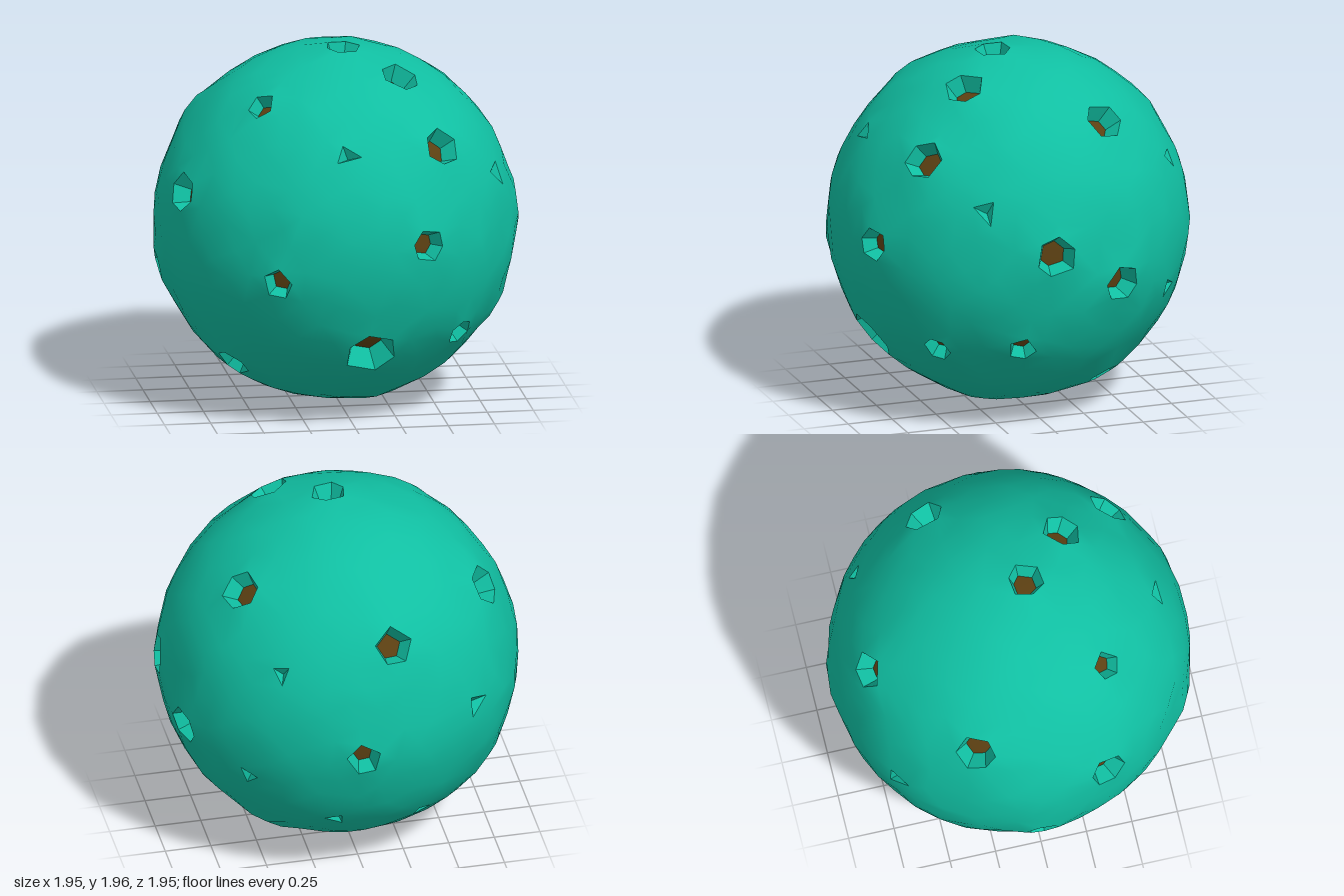
import * as THREE from 'three';
import { ConvexGeometry } from 'three/addons/geometries/ConvexGeometry.js';
import { toCreasedNormals } from 'three/addons/utils/BufferGeometryUtils.js';

const R = 0.972;

// craters: direction x, y, z from the centre, rim radius, sides (3 = small chip)
const craters = [
  [0.07, -0.55, 0.80, 0.145, 6], [0.37, 0.06, 0.90, 0.095, 6], [-0.44, -0.13, 0.86, 0.085, 5],
  [0.48, 0.54, 0.655, 0.11, 6], [0.30, 0.86, 0.36, 0.11, 6], [-0.46, 0.75, 0.43, 0.08, 5],
  [-0.60, -0.69, 0.34, 0.10, 6], [-0.88, 0.26, 0.34, 0.11, 6], [0.58, -0.49, 0.61, 0.08, 6],
  [0.83, -0.46, 0.22, 0.08, 5], [0.97, 0.08, 0.07, 0.115, 6], [0.91, -0.13, -0.32, 0.105, 6],
  [0.61, 0.69, -0.33, 0.11, 6], [0.47, -0.77, -0.37, 0.10, 6], [-0.13, 0.54, -0.80, 0.105, 5],
  [-0.72, 0.55, -0.35, 0.11, 6], [0.03, 0.97, 0.10, 0.10, 6], [0.07, -0.06, -0.97, 0.10, 5],
  [-0.71, -0.51, -0.43, 0.11, 6], [-0.95, -0.23, -0.04, 0.09, 6], [0.20, -0.94, 0.20, 0.08, 5],
  [0.64, -0.27, -0.68, 0.065, 3], [0.82, 0.32, 0.42, 0.075, 3], [0.48, 0.40, -0.75, 0.06, 3],
  [-0.05, 0.55, 0.81, 0.07, 3], [-0.60, 0.07, -0.76, 0.08, 3], [-0.30, -0.60, -0.70, 0.06, 3],
  [0.18, -0.55, -0.785, 0.065, 3],
].map(([x, y, z, r, sides]) => ({ n: new THREE.Vector3(x, y, z).normalize(), r, sides }));

// shallow dents: direction and depth
const dents = [
  [-0.60, 0.07, 0.75, 0.03], [-0.55, 0.42, 0.68, 0.03], [-0.2, -0.72, 0.62, 0.03],
  [0.85, 0.02, 0.47, 0.035], [0.93, 0.15, -0.22, 0.025], [-0.3, 0.93, 0.05, 0.02],
  [-0.05, 0.7, 0.66, 0.02], [-0.25, 0.15, -0.93, 0.03], [-0.8, 0.15, -0.5, 0.03],
  [0.4, 0.72, 0.52, 0.025], [0.55, -0.6, -0.55, 0.025],
].map(([x, y, z, depth]) => ({ n: new THREE.Vector3(x, y, z).normalize(), depth }));

function makeRandom(seed) {
  return () => (seed = (seed * 16807) % 2147483647) / 2147483647;
}

// radius of the lumpy ground in a given direction
function groundRadius(d) {
  let r = R + 0.004 * Math.sin(9 * d.x + 4 * d.y) * Math.cos(8 * d.z - 3 * d.x)
    + 0.003 * Math.sin(17 * d.y + 11 * d.z);
  for (const c of craters) {
    const q = d.distanceTo(c.n) / c.r;
    if (c.sides > 3) r += 0.012 * Math.exp(-((q - 1) ** 2) * 6);
  }
  for (const c of dents) r -= c.depth * Math.exp(-((d.distanceTo(c.n) / 0.09) ** 2));
  return r;
}

// directions around a crater rim, counter-clockwise from outside
function rimDirections({ n, r, sides }, random) {
  const u = new THREE.Vector3(0.31, 0.87, -0.38).cross(n).normalize();
  const v = n.clone().cross(u);
  const start = random() * 6.28;
  return Array.from({ length: sides }, (_, i) => {
    const a = start + ((i + (random() - 0.5) * 0.3) / sides) * Math.PI * 2;
    const s = r * (0.92 + random() * 0.16);
    return n.clone().addScaledVector(u, s * Math.cos(a)).addScaledVector(v, s * Math.sin(a)).normalize();
  });
}

function toGeometry(points) {
  return toCreasedNormals(new THREE.BufferGeometry().setFromPoints(points), 0.6);
}

export function createModel() {
  const random = makeRandom(4711);
  const group = new THREE.Group();
  group.name = 'crateredPlanet';
  const rims = craters.map((c) => rimDirections(c, random));

  // scattered ground points that keep clear of the craters
  const directions = rims.flat();
  const count = 560;
  for (let i = 0; i < count; i++) {
    const y = 1 - (2 * (i + 0.5)) / count;
    const a = i * 2.399963;
    const s = Math.sqrt(1 - y * y);
    const d = new THREE.Vector3(s * Math.cos(a), y, s * Math.sin(a));
    d.x += (random() - 0.5) * 0.06;
    d.y += (random() - 0.5) * 0.06;
    d.z += (random() - 0.5) * 0.06;
    d.normalize();
    if (craters.every((c) => d.distanceTo(c.n) > c.r * 1.35 + 0.025)) directions.push(d);
  }

  // ground: skin over all points, with the crater mouths left open
  const crust = [];
  const floors = [];
  const hull = new ConvexGeometry(directions).getAttribute('position');
  for (let i = 0; i < hull.count; i += 3) {
    const tri = [0, 1, 2].map((k) => new THREE.Vector3().fromBufferAttribute(hull, i + k));
    if (craters.some((c) => tri.every((p) => p.distanceTo(c.n) < c.r * 1.15))) continue;
    crust.push(...tri.map((p) => p.multiplyScalar(groundRadius(p))));
  }

  // crater walls and floors
  craters.forEach((c, k) => {
    const chip = c.sides === 3;
    const rim = rims[k].map((d) => d.clone().multiplyScalar(groundRadius(d)));
    const depth = chip ? 0.05 : c.r * 0.75;
    const bottom = c.n.clone().multiplyScalar(R - depth);
    const low = rims[k].map((d) => d.clone().lerp(c.n, 0.3).normalize().multiplyScalar(R - depth));
    for (let i = 0; i < c.sides; i++) {
      const j = (i + 1) % c.sides;
      if (chip) {
        crust.push(rim[i], rim[j], bottom);
      } else {
        crust.push(rim[i], rim[j], low[j], rim[i], low[j], low[i]);
        floors.push(bottom, low[i], low[j]);
      }
    }
  });

  const add = (name, points, color) => {
    const mesh = new THREE.Mesh(toGeometry(points), new THREE.MeshStandardMaterial({ color }));
    mesh.name = name;
    mesh.position.y = 0.98;
    group.add(mesh);
  };
  add('crust', crust, 0x10bfa2);
  add('craterFloors', floors, 0x5c4012);
  return group;
}
